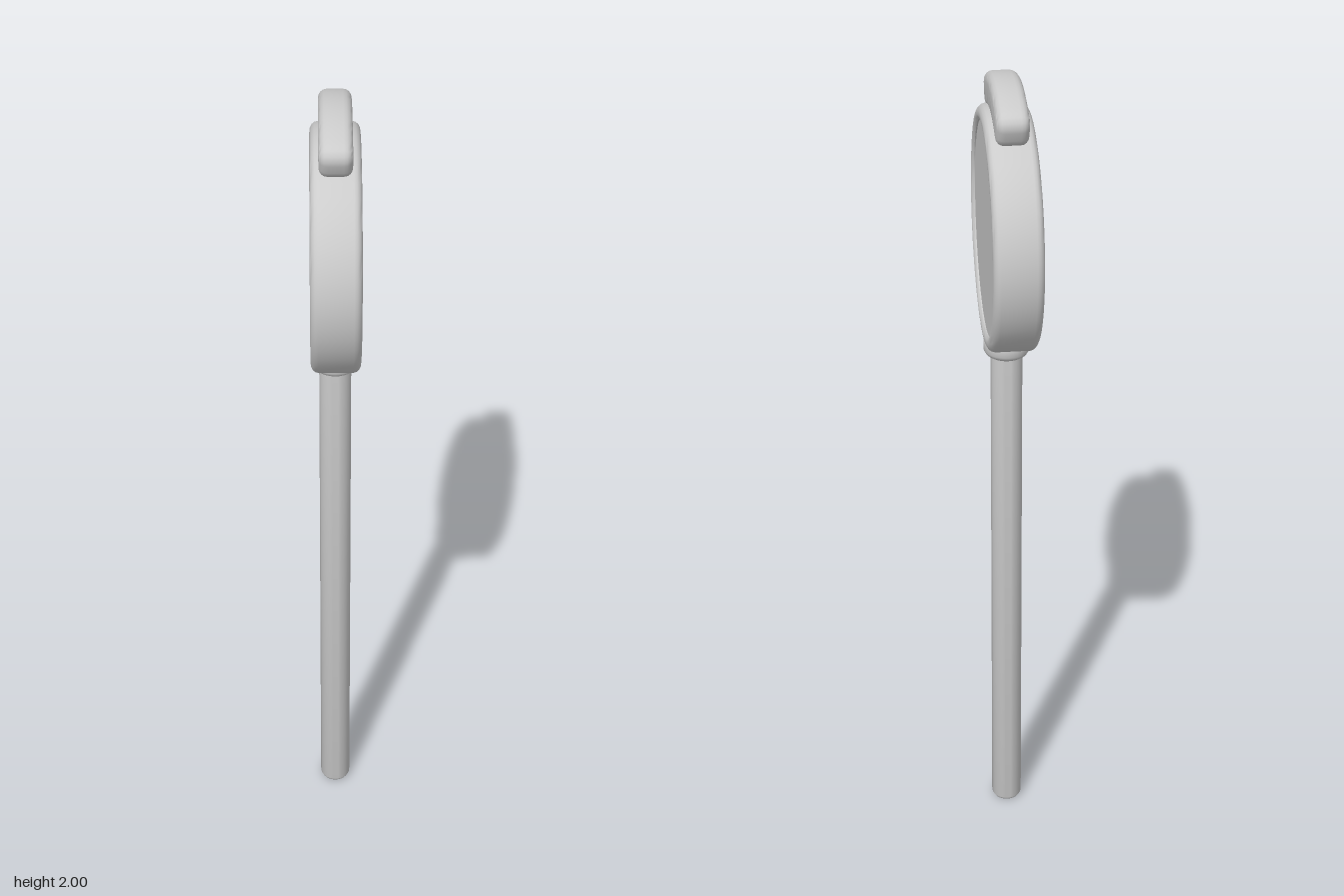
import * as THREE from 'three';
import { toCreasedNormals } from 'three/addons/utils/BufferGeometryUtils.js';

const DISC_Y = 1.64;
const material = new THREE.MeshStandardMaterial({ color: 0xcccccc });

function addPart(group, name, geometry) {
  const mesh = new THREE.Mesh(geometry, material);
  mesh.name = name;
  group.add(mesh);
  return mesh;
}

function lathe(points, segments) {
  const profile = points.map(([r, y]) => new THREE.Vector2(r, y));
  return toCreasedNormals(new THREE.LatheGeometry(profile, segments), 0.75);
}

// Curved block following the rim, with rounded corners and edges
function crestGeometry() {
  const bevel = 0.02, inner = 0.295, outer = 0.34, angle = 0.42, corner = 0.012;
  const at = (r, a) => [r * Math.sin(a), r * Math.cos(a)];
  const shape = new THREE.Shape();
  const da = corner / outer;
  const arc = (r, a0, a1) => {
    for (let i = 0; i <= 16; i++) shape.lineTo(...at(r, a0 + (a1 - a0) * i / 16));
  };
  shape.moveTo(...at(inner, -angle + da));
  arc(inner, -angle + da, angle - da);
  shape.quadraticCurveTo(...at(inner, angle), ...at(inner + corner, angle));
  shape.lineTo(...at(outer - corner, angle));
  shape.quadraticCurveTo(...at(outer, angle), ...at(outer, angle - da));
  arc(outer, angle - da, -angle + da);
  shape.quadraticCurveTo(...at(outer, -angle), ...at(outer - corner, -angle));
  shape.lineTo(...at(inner + corner, -angle));
  shape.quadraticCurveTo(...at(inner, -angle), ...at(inner, -angle + da));
  const geometry = new THREE.ExtrudeGeometry(shape, {
    depth: 0.036, bevelSize: bevel, bevelThickness: bevel, bevelSegments: 4, curveSegments: 4,
  });
  geometry.translate(0, 0, -0.018).rotateY(Math.PI / 2);
  return toCreasedNormals(geometry, 0.75);
}

export function createModel() {
  const group = new THREE.Group();

  // Handle with rounded foot
  addPart(group, 'handle', lathe([
    [0, 0], [0.026, 0], [0.033, 0.004], [0.037, 0.011], [0.038, 0.02], [0.038, 1.36],
  ], 32));

  // Collar between handle and disc
  addPart(group, 'collar', lathe([
    [0.036, 1.313], [0.043, 1.314], [0.05, 1.319], [0.055, 1.328],
    [0.055, 1.352], [0.05, 1.361], [0.043, 1.366], [0, 1.366],
  ], 32));

  // Rounded rim around the disc, hollow on both sides
  const half = [
    [0.252, 0.047], [0.252, 0.052], [0.256, 0.056], [0.262, 0.058], [0.272, 0.057],
    [0.28, 0.053], [0.285, 0.047], [0.287, 0.04],
  ];
  const profile = [...half.map(([r, y]) => [r, -y]), ...half.slice().reverse()];
  const rim = addPart(group, 'rim', lathe(profile, 48));
  rim.rotation.z = Math.PI / 2;
  rim.position.y = DISC_Y;

  // Flat recessed faces
  const face = addPart(group, 'faces', new THREE.CylinderGeometry(0.2525, 0.2525, 0.098, 48));
  face.rotation.z = Math.PI / 2;
  face.position.y = DISC_Y;

  // Crest on top of the rim
  addPart(group, 'crest', crestGeometry()).position.y = DISC_Y;

  return group;
}
